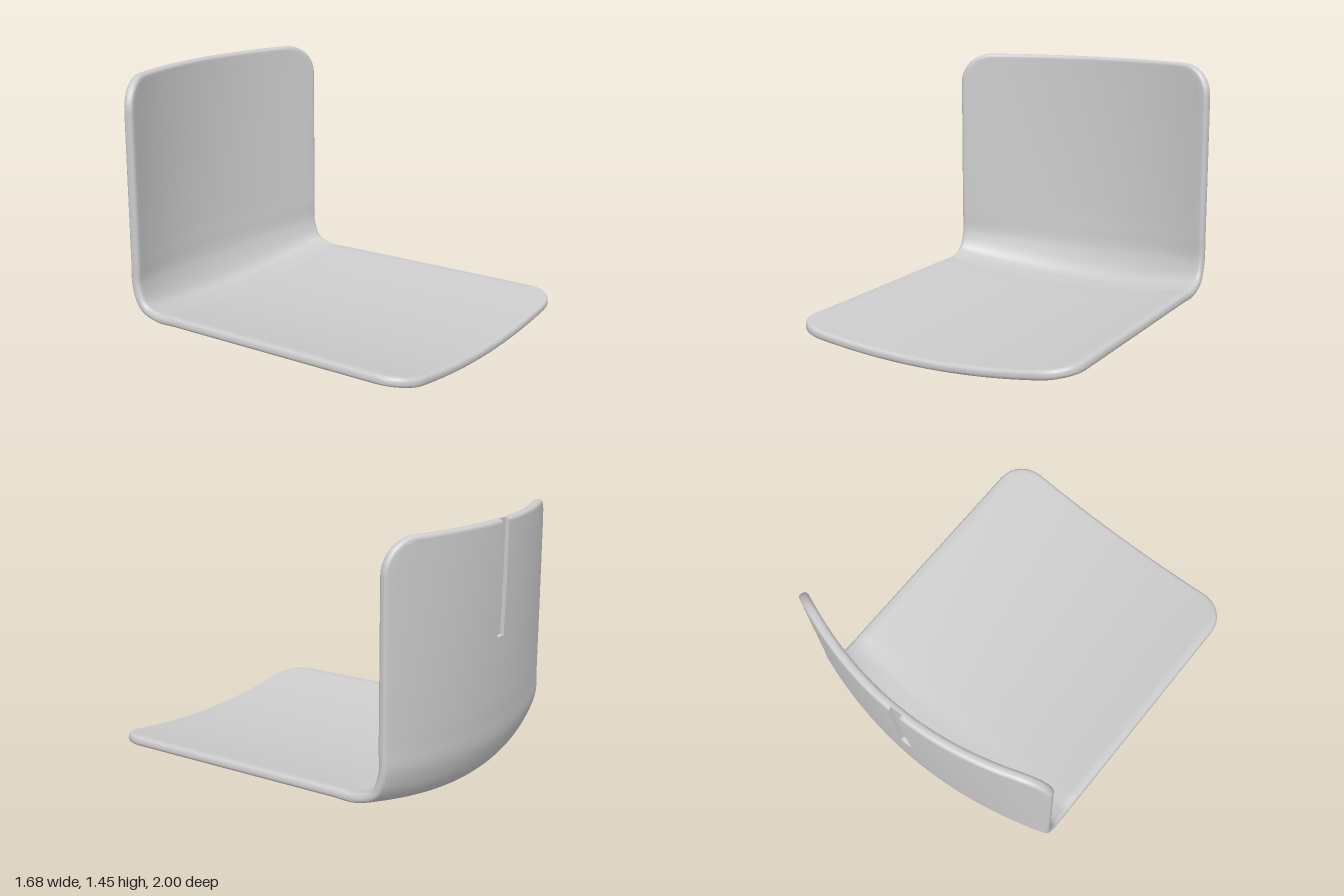
import * as THREE from 'three';
import { toCreasedNormals } from 'three/addons/utils/BufferGeometryUtils.js';

const W = 0.835;        // half width
const R = 0.18;         // corner radius of the outline
const H = 0.026;        // half thickness
const ROUND = 0.02;     // edge rounding
const END = 3.53;       // length parameter at the top edge
const GROOVE = { half: 0.035, depth: 0.022, s: 2.91 };

// Bend between seat and back as (z, y): at the sides and on the centre line
const bend = (pts) => new THREE.CatmullRomCurve3(pts.map(([z, y]) => new THREE.Vector3(0, y, z)));
const sideBend = bend([[-0.5, 0.127], [-0.63, 0.127], [-0.74, 0.172], [-0.785, 0.282], [-0.785, 0.42]]);
const midBend = bend([[-0.5, 0.046], [-0.69, 0.046], [-0.835, 0.07], [-0.92, 0.225], [-0.945, 0.42]]);

// Middle surface: s runs 0..1.5 along the seat, 1.5..2.5 in the bend, then up the back
function middle(x, s) {
  const t = (x / W) ** 2;
  let side, mid;
  if (s < 1.5) {
    side = new THREE.Vector3(0, 0.127, 1 - s);
    mid = new THREE.Vector3(0, 0.046, 1 - s);
  } else if (s <= 2.5) {
    side = sideBend.getPoint(s - 1.5);
    mid = midBend.getPoint(s - 1.5);
  } else {
    const v = s - 2.5;
    side = new THREE.Vector3(0, 0.42 + v, -0.785);
    mid = new THREE.Vector3(0, 0.42 + v, -0.945 - 0.03 * (1 - (1 - Math.min(v, 1)) ** 2));
  }
  const p = mid.lerp(side, t);
  p.x = x;
  return p;
}

// Point at a distance from the middle surface; the groove limits how far back it goes
function shellPoint(x, s, off) {
  if (Math.abs(x) < GROOVE.half - 0.0005 && s > GROOVE.s) off = Math.max(off, GROOVE.depth - H);
  const d = 0.004;
  const dx = middle(x + d, s).sub(middle(x - d, s));
  const ds = middle(x, s + d).sub(middle(x, s - d));
  return middle(x, s).addScaledVector(dx.cross(ds).normalize(), off);
}

// Rows of the outline, each giving half width and s for an inset
function outlineRows() {
  const rows = [];
  const corner = (a, top) => (e) => {
    const s = R - (R - e) * Math.cos(a);
    return [W - R + (R - e) * Math.sin(a), top ? END - s : s];
  };
  const line = (from, to, n) => {
    for (let i = 1; i <= n; i++) rows.push((e) => [W - e, from + (to - from) * i / n]);
  };
  for (let i = 0; i <= 10; i++) rows.push(corner(i / 10 * Math.PI / 2, false));
  line(R, 1.5, 8);
  line(1.5, 2.5, 36);
  line(2.5, GROOVE.s - 0.001, 6);
  line(GROOVE.s - 0.001, GROOVE.s + 0.001, 1);
  line(GROOVE.s + 0.001, END - R - 0.01, 6);
  for (let i = 10; i >= 0; i--) rows.push(corner(i / 10 * Math.PI / 2, true));
  return rows;
}

// Columns: fixed ones at the groove, the others spread to the edge
function columns() {
  const right = [];
  for (let i = 0; i <= 20; i++) right.push((w) => GROOVE.half + (w - GROOVE.half) * i / 20);
  const inner = GROOVE.half - 0.001;
  const left = right.map((f) => (w) => -f(w)).reverse();
  return [...left, () => -inner, () => inner, ...right];
}

function shellGeometry() {
  const rows = outlineRows(), cols = columns();
  const nr = rows.length, nc = cols.length;
  const pos = [], index = [];
  const add = (i, j, inset, off) => {
    const [w, s] = rows[j](inset);
    pos.push(...shellPoint(cols[i](w), s, off).toArray());
  };
  const quad = (a, b, c, d) => index.push(a, b, c, a, c, d);

  // Front and back sheets
  for (const face of [1, -1]) {
    const base = pos.length / 3;
    for (let j = 0; j < nr; j++) for (let i = 0; i < nc; i++) add(i, j, ROUND, face * H);
    for (let j = 0; j < nr - 1; j++) for (let i = 0; i < nc - 1; i++) {
      const a = base + j * nc + i, b = a + 1, c = b + nc, d = a + nc;
      if (face > 0) quad(a, b, c, d);
      else quad(a, d, c, b);
    }
  }

  // Rounded rim around the outline
  const loop = [];
  for (let i = 0; i < nc - 1; i++) loop.push([i, 0]);
  for (let j = 0; j < nr - 1; j++) loop.push([nc - 1, j]);
  for (let i = nc - 1; i > 0; i--) loop.push([i, nr - 1]);
  for (let j = nr - 1; j > 0; j--) loop.push([0, j]);
  const base = pos.length / 3, n = loop.length;
  const profile = [];
  for (const face of [1, -1]) for (let k = 0; k <= 4; k++) {
    const a = (face > 0 ? 4 - k : k) / 4 * Math.PI / 2;
    profile.push([ROUND * (1 - Math.cos(a)), face * (H - ROUND + ROUND * Math.sin(a))]);
  }
  for (const [inset, off] of profile) for (const [i, j] of loop) add(i, j, inset, off);
  for (let k = 0; k < profile.length - 1; k++) for (let m = 0; m < n; m++) {
    const a = base + k * n + m, b = base + k * n + (m + 1) % n;
    quad(a, a + n, b + n, b);
  }

  const geo = new THREE.BufferGeometry();
  geo.setAttribute('position', new THREE.Float32BufferAttribute(pos, 3));
  geo.setIndex(index);
  return toCreasedNormals(geo, 0.7);
}

export function createModel() {
  const group = new THREE.Group();
  group.name = 'seatShell';
  const material = new THREE.MeshStandardMaterial({ color: 0xcccccc });

  // One-piece curved seat and back
  const shell = new THREE.Mesh(shellGeometry(), material);
  shell.name = 'seatAndBack';
  group.add(shell);

  // Four short mounting pegs under the seat
  const pegGeometry = new THREE.CylinderGeometry(0.046, 0.046, 0.07, 32);
  for (const x of [-0.47, 0.47]) for (const z of [0.705, -0.25]) {
    const peg = new THREE.Mesh(pegGeometry, material);
    peg.name = `${z > 0 ? 'front' : 'back'}${x > 0 ? 'Left' : 'Right'}Peg`;
    peg.position.set(x, 0.035, z);
    group.add(peg);
  }
  return group;
}
